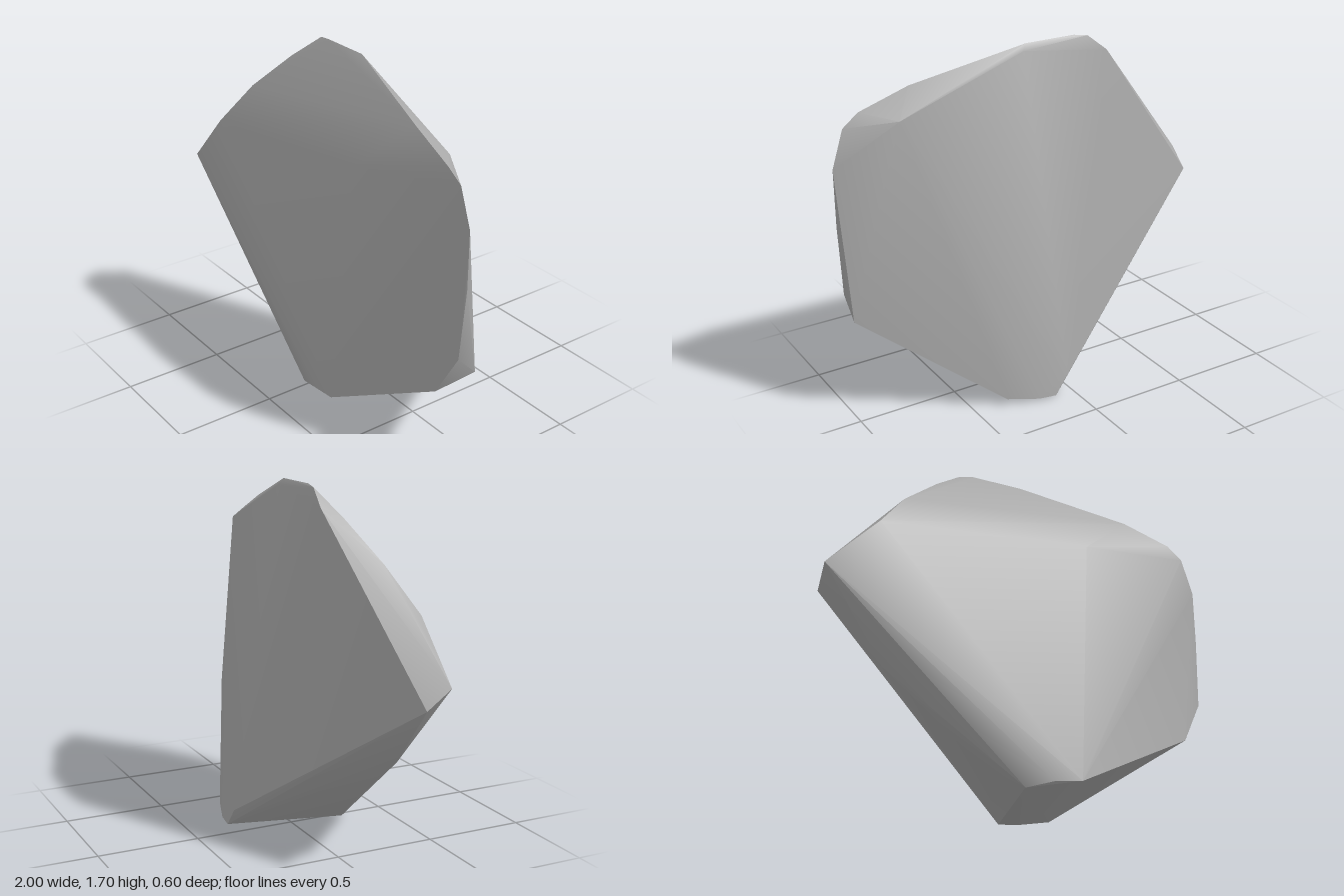
import * as THREE from 'three';
import { ConvexGeometry } from 'three/addons/geometries/ConvexGeometry.js';
import { toCreasedNormals } from 'three/addons/utils/BufferGeometryUtils.js';

// Corners of the chipped stone slab, grouped by where they sit
const corners = {
  topRim: [[0.08, 1.70, 0], [-0.18, 1.70, 0], [-0.25, 1.69, -0.01], [-0.35, 1.61, -0.025], [0.1, 1.67, -0.015]],
  upperLeft: [[-0.4, 1.57, 0.06], [-0.6, 1.38, 0.16], [-0.8, 1.13, 0.24]],
  leftTip: [[-1, 0.9, 0.27], [-0.99, 0.81, 0.155]],
  frontRidge: [[-0.75, 1.17, 0.265], [0.33, 1.3, 0.235]],
  upperRight: [[0.62, 1.56, 0.12], [0.86, 1.47, 0.145], [0.94, 1.41, 0.14], [0.72, 1.44, 0.015]],
  rightSide: [[1, 1.23, 0.135], [1, 0.95, 0.135], [0.98, 0.6, 0.15], [0.98, 0.5, 0.05], [0.87, 0.39, 0.18]],
  frontFoot: [[-0.03, 0, 0.27], [0.1, 0.04, 0.295], [0.24, 0.06, 0.30]],
  lowerLeft: [[-0.69, 0.49, 0.19], [-0.2, 0.1, 0.19]],
  backFoot: [[0.03, 0.1, -0.295], [0.1, 0.005, -0.30], [0.19, 0.01, -0.29], [0.34, 0.03, -0.24]],
};

export function createModel() {
  const stone = new THREE.MeshStandardMaterial({ color: 0xaaaaaa });
  stone.name = 'stone grey';

  // Stretch a hull over the corners, then soften the shallow edges only
  const points = Object.values(corners).flat().map((p) => new THREE.Vector3(...p));
  const rock = new THREE.Mesh(toCreasedNormals(new ConvexGeometry(points), 0.55), stone);
  rock.name = 'rock';

  const group = new THREE.Group();
  group.name = 'rockSlab';
  group.add(rock);
  return group;
}
